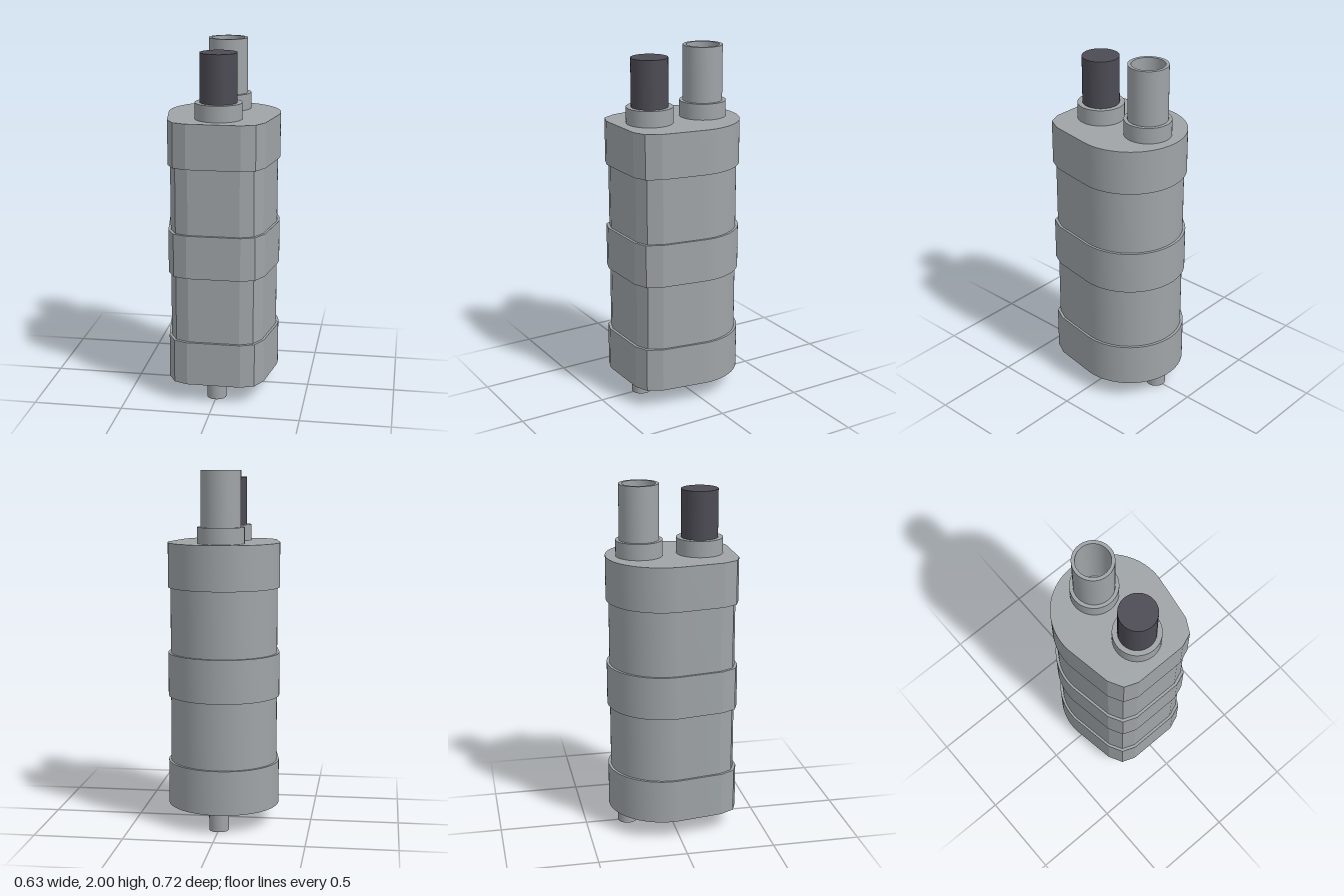
import * as THREE from 'three';
import { toCreasedNormals } from 'three/addons/utils/BufferGeometryUtils.js';

export function createModel() {
  const model = new THREE.Group();
  model.name = 'submersiblePump';

  const grey = new THREE.MeshStandardMaterial({ color: 0x9fa4a7 });
  grey.name = 'casing grey';
  const dark = new THREE.MeshStandardMaterial({ color: 0x4c4b54 });
  dark.name = 'cable black';

  function add(name, geometry, material = grey) {
    const mesh = new THREE.Mesh(geometry, material);
    mesh.name = name;
    model.add(mesh);
    return mesh;
  }

  // Casing outline: round at the back, tapering to a chamfered flat front (shape y = -z)
  function outline(s) {
    const shape = new THREE.Shape();
    shape.moveTo(0.15 * s, -0.36 * s);
    shape.lineTo(0.227 * s, -0.33 * s);
    shape.lineTo(0.27 * s, -0.25 * s);
    const a = -0.12;
    shape.absarc(0, 0.045 * s, 0.315 * s, a, Math.PI - a, false);
    shape.lineTo(-0.27 * s, -0.25 * s);
    shape.lineTo(-0.227 * s, -0.33 * s);
    shape.lineTo(-0.15 * s, -0.36 * s);
    shape.closePath();
    return shape;
  }

  function slab(name, shape, y0, y1) {
    const g = new THREE.ExtrudeGeometry(shape, { depth: y1 - y0, bevelEnabled: false, curveSegments: 40 });
    g.rotateX(-Math.PI / 2);
    g.translate(0, y0, 0);
    return add(name, toCreasedNormals(g, 0.25));
  }

  function cylinder(name, r, y0, y1, z, material) {
    const mesh = add(name, new THREE.CylinderGeometry(r, r, y1 - y0, 48), material);
    mesh.position.set(0, (y0 + y1) / 2, z);
  }

  // Hollow cylinder turned from a closed rectangular section
  function tube(name, rIn, rOut, y0, y1, z) {
    const pts = [[rIn, y0], [rOut, y0], [rOut, y1], [rIn, y1], [rIn, y0]]
      .map(([x, y]) => new THREE.Vector2(x, y));
    const mesh = add(name, toCreasedNormals(new THREE.LatheGeometry(pts, 48), 0.5));
    mesh.position.z = z;
  }

  // Base plate with one curved slot and two radial slots
  const base = outline(1);
  const arcSlot = new THREE.Path();
  const from = -Math.PI * 0.77, to = -Math.PI * 0.23;
  arcSlot.absarc(0, 0, 0.26, from, to, false);
  arcSlot.absarc(0, 0, 0.225, to, from, true);
  arcSlot.closePath();
  base.holes.push(arcSlot);
  for (const side of [-1, 1]) {
    const c = Math.SQRT1_2;
    const at = (r, w) => new THREE.Vector2(side * (r + w) * c, (r - w) * c);
    base.holes.push(new THREE.Path([at(0.19, -0.015), at(0.26, -0.015), at(0.26, 0.015), at(0.19, 0.015), at(0.19, -0.015)]));
  }
  slab('basePlate', base, 0.11, 0.14);

  // Casing: three wide bands with narrower sections between
  slab('lowerBand', outline(1), 0.14, 0.36);
  slab('lowerBody', outline(0.957), 0.36, 0.735);
  slab('middleBand', outline(1), 0.735, 0.98);
  slab('upperBody', outline(0.957), 0.98, 1.35);
  slab('upperBand', outline(1), 1.35, 1.6);

  // Cable gland and cable at the front, open outlet pipe at the back
  cylinder('cableCollar', 0.131, 1.6, 1.69, 0.17);
  cylinder('cable', 0.103, 1.69, 1.96, 0.17, dark);
  tube('outletCollar', 0.1, 0.131, 1.6, 1.69, -0.172);
  tube('outletPipe', 0.092, 0.111, 1.6, 2, -0.172);

  // Feet and inlet ring underneath
  cylinder('frontFoot', 0.055, 0, 0.14, 0.24);
  cylinder('backFoot', 0.055, 0, 0.11, -0.255);
  tube('inletRing', 0.08, 0.095, 0.1, 0.11, 0);

  return model;
}
